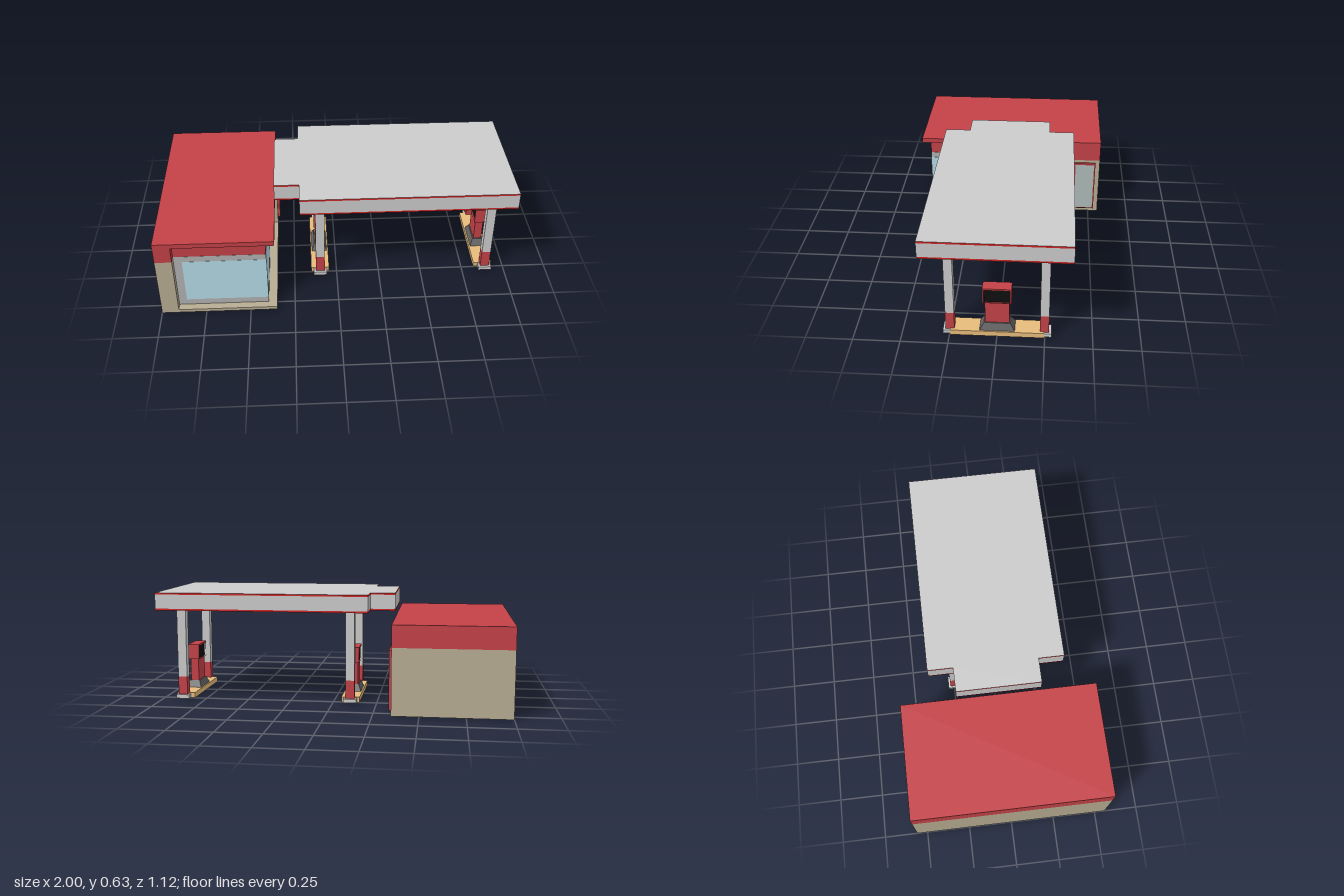
import * as THREE from 'three';

const paint = (color) => new THREE.MeshStandardMaterial({ color });
const grey = paint(0xcccccc), red = paint(0xc44248), trimRed = paint(0xd02424);
const beige = paint(0xb8ad93), wallGrey = paint(0xb2b2b2), glass = paint(0xb5dbe8);
const doorGlass = paint(0xafbdbb), tan = paint(0xe8bc7c), dark = paint(0x646464), black = paint(0x101010);

function add(parent, name, geometry, material) {
  const mesh = new THREE.Mesh(geometry, material);
  mesh.name = name;
  parent.add(mesh);
  return mesh;
}

// Box given by its lower and upper bounds on each axis
function box(parent, name, material, [x0, x1], [y0, y1], [z0, z1]) {
  const g = new THREE.BoxGeometry(x1 - x0, y1 - y0, z1 - z0);
  g.translate((x0 + x1) / 2, (y0 + y1) / 2, (z0 + z1) / 2);
  return add(parent, name, g, material);
}

// Box whose top differs in size from its bottom
function taper(parent, name, material, y0, y1, [bw, bd], [tw, td]) {
  const g = new THREE.BoxGeometry(bw, y1 - y0, bd);
  const p = g.attributes.position;
  for (let i = 0; i < p.count; i++) {
    if (p.getY(i) > 0) p.setXYZ(i, Math.sign(p.getX(i)) * tw / 2, p.getY(i), Math.sign(p.getZ(i)) * td / 2);
  }
  g.computeVertexNormals();
  g.translate(0, (y0 + y1) / 2, 0);
  return add(parent, name, g, material);
}

// Slab with an [x, z] plan outline
function slab(parent, name, material, plan, y0, y1) {
  const shape = new THREE.Shape(plan.map(([x, z]) => new THREE.Vector2(x, -z)));
  const g = new THREE.ExtrudeGeometry(shape, { depth: y1 - y0, bevelEnabled: false });
  g.rotateX(-Math.PI / 2).translate(0, y0, 0);
  return add(parent, name, g, material);
}

// Rectangular frame in the yz plane, with rectangular openings
function frame(parent, name, material, [x0, x1], outer, openings) {
  const corners = ([z0, z1, y0, y1]) =>
    [[z0, y0], [z1, y0], [z1, y1], [z0, y1]].map(([z, y]) => new THREE.Vector2(-z, y));
  const shape = new THREE.Shape(corners(outer));
  for (const o of openings) shape.holes.push(new THREE.Path(corners(o)));
  const g = new THREE.ExtrudeGeometry(shape, { depth: x1 - x0, bevelEnabled: false });
  g.rotateY(Math.PI / 2).translate(x0, 0, 0);
  return add(parent, name, g, material);
}

function createShop() {
  const shop = new THREE.Group();
  shop.name = 'shop';
  const full = [[-1, -0.56], [-0.35, -0.56], [-0.35, 0.56], [-1, 0.56]];
  // Plan with the front corner cut back for the windows
  const recessed = [[-1, -0.56], [-0.35, -0.56], [-0.35, -0.22], [-0.4, -0.22],
    [-0.4, 0.515], [-0.905, 0.515], [-0.905, 0.56], [-1, 0.56]];
  slab(shop, 'floorSlab', beige, full, 0, 0.02);
  slab(shop, 'walls', beige, recessed, 0.02, 0.37);
  slab(shop, 'upperWalls', red, recessed, 0.37, 0.465);
  slab(shop, 'roof', red, full, 0.465, 0.493);
  // Red band on the outer walls covers only the solid part
  box(shop, 'windowWall', wallGrey, [-0.905, -0.399], [0.02, 0.37], [-0.22, 0.516]);
  box(shop, 'cornerWindow', glass, [-0.86, -0.398], [0.057, 0.334], [-0.167, 0.517]);

  // Double door
  const panes = [[-0.392, -0.276, 0.031, 0.342], [-0.525, -0.409, 0.031, 0.342]];
  frame(shop, 'doorFrame', red, [-0.35, -0.336], [-0.533, -0.27, 0.025, 0.353], panes);
  for (const [z0, z1, y0, y1] of panes) {
    box(shop, 'doorPane', doorGlass, [-0.352, -0.342], [y0, y1], [z0, z1]);
  }
  return shop;
}

function createCanopy() {
  const canopy = new THREE.Group();
  canopy.name = 'canopy';
  const plan = [[-0.35, -0.24], [-0.21, -0.24], [-0.21, -0.385], [1, -0.385],
    [1, 0.385], [-0.21, 0.385], [-0.21, 0.24], [-0.35, 0.24]];
  // Red edge strips with grey top and underside
  slab(canopy, 'lowerTrim', [grey, trimRed], plan, 0.531, 0.541);
  slab(canopy, 'canopyBody', grey, plan, 0.541, 0.621);
  slab(canopy, 'upperTrim', [grey, trimRed], plan, 0.621, 0.631);
  return canopy;
}

function createPump() {
  const pump = new THREE.Group();
  pump.name = 'fuelPump';
  taper(pump, 'pumpBase', dark, 0.03, 0.07, [0.09, 0.185], [0.06, 0.14]);
  box(pump, 'pumpBody', red, [-0.024, 0.024], [0.07, 0.2], [-0.064, 0.064]);
  frame(pump, 'pumpHead', red, [-0.032, 0.032], [-0.076, 0.076, 0.2, 0.291],
    [[-0.068, 0.068, 0.204, 0.281]]);
  box(pump, 'pumpScreen', black, [-0.025, 0.025], [0.204, 0.281], [-0.068, 0.068]);
  return pump;
}

// Island with its pump and the two canopy columns
function createIsland(columnOffset) {
  const island = new THREE.Group();
  island.name = 'pumpIsland';
  box(island, 'kerb', tan, [-0.053, 0.053], [0, 0.03], [-0.247, 0.247]);
  island.add(createPump());
  for (const side of [-1, 1]) {
    const column = new THREE.Group();
    column.name = 'column';
    column.position.set(columnOffset, 0, side * 0.248);
    box(column, 'columnFoot', grey, [-0.038, 0.038], [0.003, 0.025], [-0.037, 0.037]);
    box(column, 'columnSleeve', red, [-0.026, 0.026], [0.025, 0.13], [-0.0235, 0.0235]);
    box(column, 'columnShaft', grey, [-0.026, 0.026], [0.13, 0.52], [-0.0235, 0.0235]);
    taper(column, 'columnCapital', grey, 0.518, 0.531, [0.052, 0.047], [0.068, 0.064]);
    island.add(column);
  }
  return island;
}

export function createModel() {
  const model = new THREE.Group();
  model.name = 'fuelStation';
  model.add(createShop(), createCanopy());
  for (const [x, columnOffset] of [[-0.098, 0.001], [0.876, 0.01]]) {
    const island = createIsland(columnOffset);
    island.position.x = x;
    model.add(island);
  }
  return model;
}
